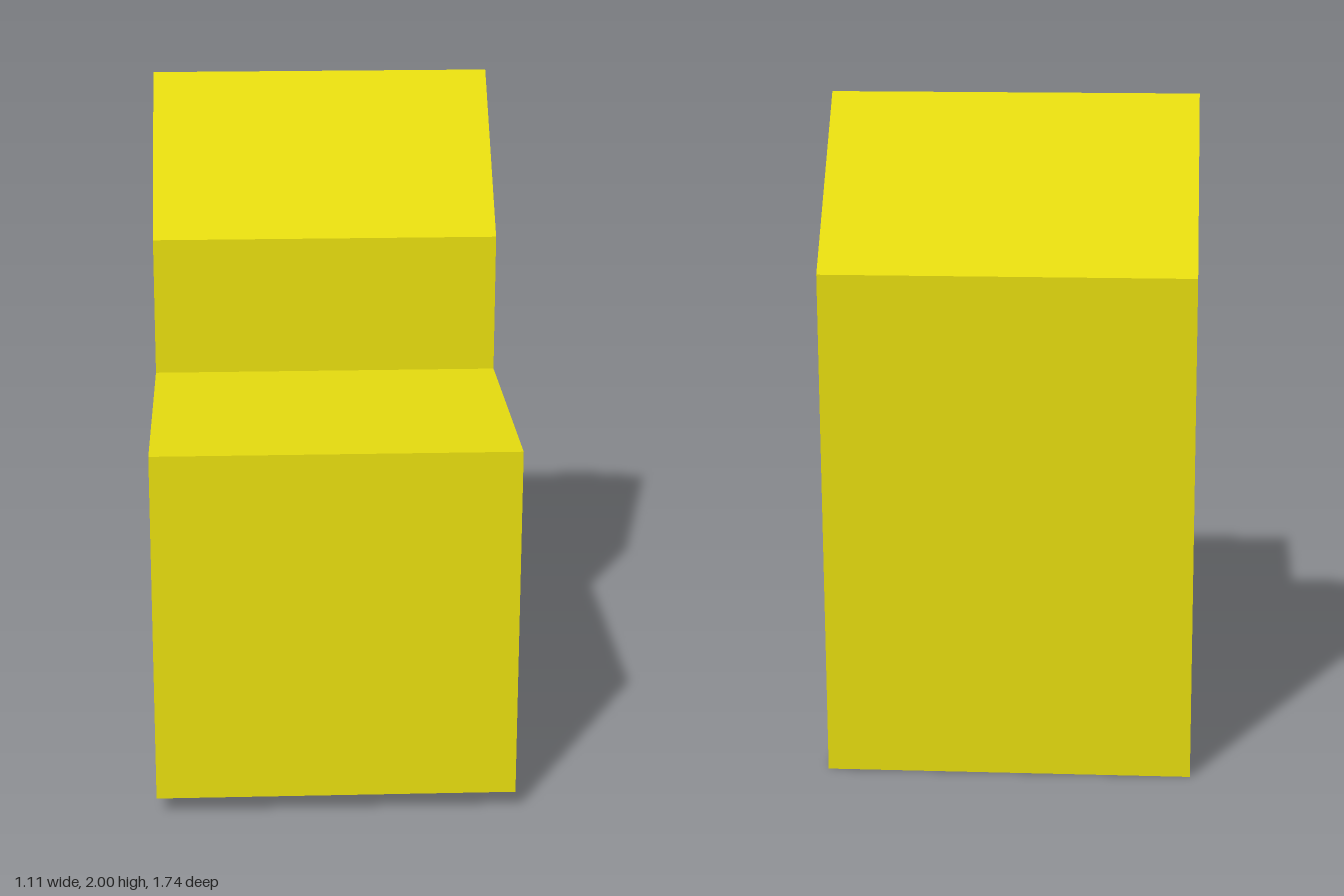
import * as THREE from 'three';

export function createModel() {
  const model = new THREE.Group();
  model.name = 'house';

  const yellow = new THREE.MeshStandardMaterial({ color: 0xe5db0f });
  yellow.name = 'yellow';

  // Side profile as (z, y): low front block, step, gabled rear, slightly tilted base
  const profile = [
    [0.862, 0.062], [-0.805, 0.002], [-0.862, 1.522], [-0.464, 2.0],
    [-0.025, 1.555], [-0.01, 1.12], [0.826, 1.147],
  ];
  const shape = new THREE.Shape(profile.map(([z, y]) => new THREE.Vector2(z, y)));

  // Extrude across the width and turn the profile to face +z
  const width = 1.084;
  const geometry = new THREE.ExtrudeGeometry(shape, { depth: width, bevelEnabled: false });
  geometry.translate(0, 0, -width / 2);
  geometry.rotateY(-Math.PI / 2);

  const body = new THREE.Mesh(geometry, yellow);
  body.name = 'houseBody';
  body.rotation.y = 0.0125; // slight turn of the whole block
  model.add(body);
  return model;
}
